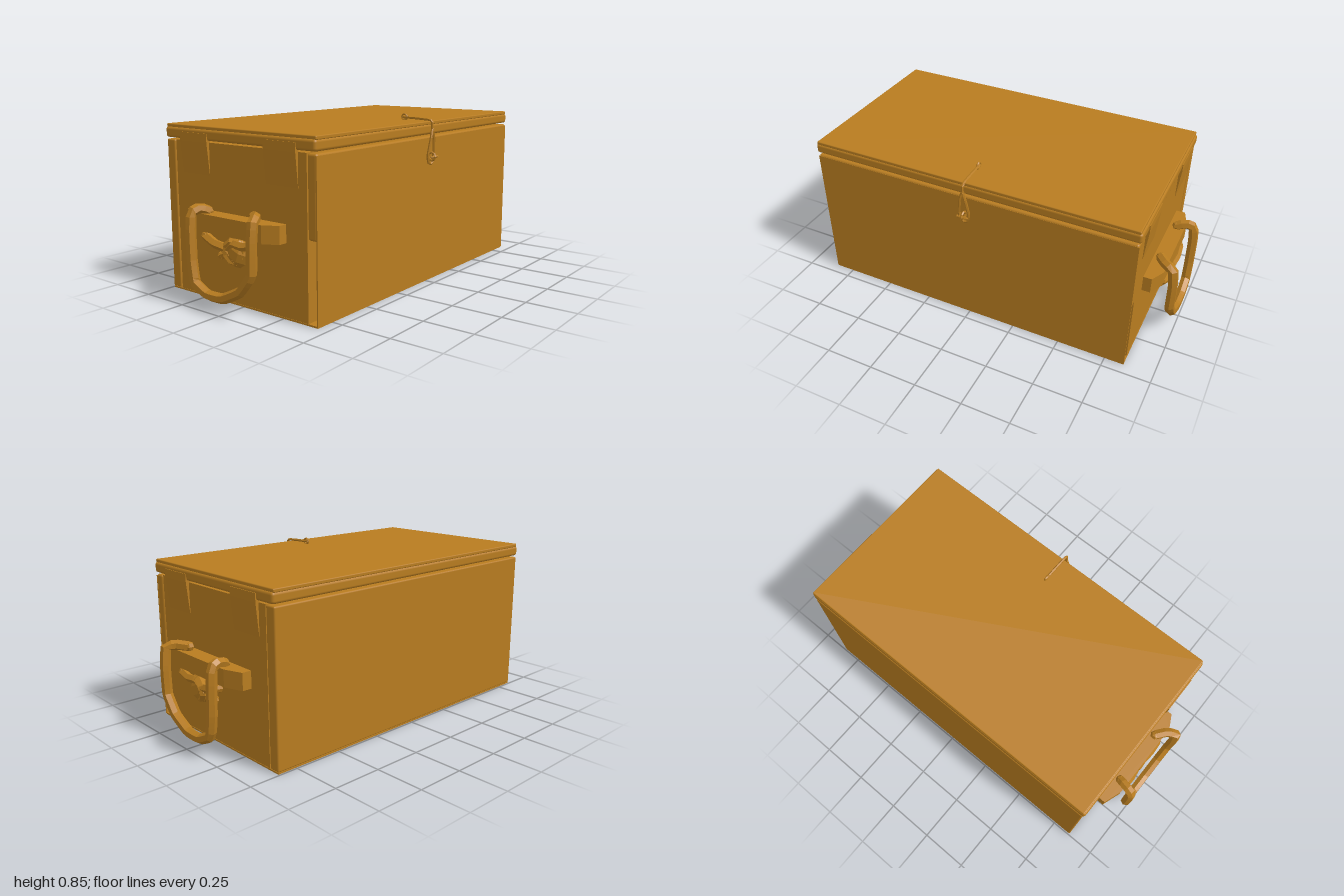
import * as THREE from 'three';
import { RoundedBoxGeometry } from 'three/addons/geometries/RoundedBoxGeometry.js';

const steel = new THREE.MeshStandardMaterial({ color: 0xb87c20 });
steel.name = 'ochre paint';

function add(parent, name, geometry) {
  const mesh = new THREE.Mesh(geometry, steel);
  mesh.name = name;
  parent.add(mesh);
  return mesh;
}

// box given by its limits on each axis
function box(parent, name, [x0, x1], [y0, y1], [z0, z1], radius = 0) {
  const w = x1 - x0, h = y1 - y0, d = z1 - z0;
  const g = radius ? new RoundedBoxGeometry(w, h, d, 2, radius) : new THREE.BoxGeometry(w, h, d);
  g.translate((x0 + x1) / 2, (y0 + y1) / 2, (z0 + z1) / 2);
  return add(parent, name, g);
}

// faceted shading by splitting the vertices
function faceted(g) {
  const flat = g.toNonIndexed();
  flat.computeVertexNormals();
  return flat;
}

// faceted rod through straight segments, with closed ends
function rod(parent, name, points, radius, sides = 6, closed = false) {
  const path = new THREE.CatmullRomCurve3(points.map(p => new THREE.Vector3(...p)), closed, 'catmullrom', 0.15);
  add(parent, name, faceted(new THREE.TubeGeometry(path, points.length * 3, radius, sides, closed)));
  if (closed) return;
  for (const i of [0, points.length - 1]) {
    const cap = add(parent, name + 'End', faceted(new THREE.IcosahedronGeometry(radius * 0.98, 0).toNonIndexed
      ? new THREE.SphereGeometry(radius * 0.98, sides, 4) : null));
    cap.position.set(...points[i]);
  }
}

// extrude an (x, z) outline upward from y0 to y1
function plan(points, y0, y1) {
  const shape = new THREE.Shape(points.map(([x, z]) => new THREE.Vector2(x, -z)));
  return new THREE.ExtrudeGeometry(shape, { depth: y1 - y0, bevelEnabled: false })
    .rotateX(-Math.PI / 2).translate(0, y0, 0);
}

function buildBody(group) {
  box(group, 'bodyCore', [-0.846, 0.846], [0.008, 0.744], [-0.432, 0.393]);
  box(group, 'bottomPlate', [-0.848, 0.848], [0, 0.008], [-0.492, 0.447]);
  box(group, 'frontPanel', [-0.85, 0.85], [0.005, 0.735], [0.444, 0.45]);
  box(group, 'frontUpperFold', [-0.85, 0.85], [0.375, 0.744], [0.397, 0.4495], 0.012);
  box(group, 'backPanel', [-0.85, 0.85], [0.008, 0.744], [-0.495, -0.437], 0.008);
}

function buildLid(group) {
  box(group, 'lidRim', [-0.858, 0.858], [0.752, 0.804], [-0.495, 0.45], 0.014);
  box(group, 'lidTop', [-0.85, 0.85], [0.8, 0.818], [-0.493, 0.448], 0.005);
}

// wedge tabs and a carrying handle for the +x end
function buildEnd() {
  const end = new THREE.Group();
  for (const [z0, z1] of [[0.157, 0.345], [-0.385, -0.2]]) {
    const profile = new THREE.Shape([[0.84, 0.785], [0.84, 0.59], [0.847, 0.59], [0.862, 0.745], [0.862, 0.785]]
      .map(p => new THREE.Vector2(...p)));
    add(end, 'lidTab', new THREE.ExtrudeGeometry(profile, { depth: z1 - z0, bevelEnabled: false }).translate(0, 0, z0));
  }

  // raised bridge holding the handle
  add(end, 'handleBracket', plan(
    [[0.84, 0.272], [0.888, 0.272], [0.925, 0.2], [0.925, -0.22], [0.892, -0.315], [0.84, -0.315]], 0.345, 0.428));

  // hanging loop with both ends hooked inward
  rod(end, 'handleLoop', [
    [0.885, 0.448, 0.12], [0.925, 0.454, 0.17], [0.966, 0.445, 0.193], [0.976, 0.35, 0.192],
    [0.976, 0.215, 0.187], [0.977, 0.13, 0.12], [0.978, 0.077, 0.01], [0.978, 0.075, -0.09],
    [0.977, 0.115, -0.175], [0.976, 0.22, -0.193], [0.974, 0.36, -0.197], [0.966, 0.44, -0.196],
    [0.925, 0.455, -0.187], [0.885, 0.435, -0.175]], 0.025, 6);

  // tied knot with loose ends
  const knot = add(end, 'knot', faceted(new THREE.SphereGeometry(1, 7, 5)));
  knot.scale.set(0.042, 0.068, 0.068);
  knot.position.set(0.89, 0.268, 0.02);
  knot.rotation.x = 0.4;
  const wrap = add(end, 'knotWrap', faceted(new THREE.TorusGeometry(0.05, 0.02, 5, 8)));
  wrap.position.set(0.905, 0.275, 0.015);
  wrap.rotation.set(0.5, Math.PI / 2 - 0.25, 0);
  rod(end, 'knotStrand', [[0.915, 0.325, 0.14], [0.92, 0.312, 0.08], [0.915, 0.315, 0.015], [0.91, 0.27, -0.035]], 0.02, 5);
  rod(end, 'knotStrand', [[0.915, 0.325, -0.165], [0.92, 0.3, -0.1], [0.91, 0.285, -0.03], [0.9, 0.23, 0.02]], 0.022, 5);
  rod(end, 'knotTail', [[0.885, 0.265, -0.03], [0.89, 0.24, -0.09]], 0.02, 5);
  return end;
}

// wire hasp over the front edge of the lid
function buildHasp(group) {
  const hasp = new THREE.Group();
  hasp.name = 'hasp';
  rod(hasp, 'haspArm', [[0, 0.832, 0.3], [0, 0.83, 0.38], [0, 0.826, 0.455], [0, 0.815, 0.471], [0, 0.77, 0.472]], 0.007, 5);
  rod(hasp, 'haspLoop', [[0, 0.785, 0.472], [0.014, 0.74, 0.475], [0.026, 0.655, 0.466], [0.018, 0.615, 0.464],
    [0, 0.607, 0.465], [-0.018, 0.615, 0.464], [-0.026, 0.655, 0.466], [-0.014, 0.74, 0.475]], 0.007, 5, true);
  const lidEye = add(hasp, 'lidEye', faceted(new THREE.TorusGeometry(0.016, 0.005, 5, 8)));
  lidEye.position.set(0, 0.832, 0.307);
  lidEye.rotation.y = Math.PI / 2;
  const staple = add(hasp, 'staple', faceted(new THREE.TorusGeometry(0.02, 0.006, 5, 8)));
  staple.position.set(0, 0.645, 0.472);
  staple.rotation.y = Math.PI / 2;
  rod(hasp, 'staplePin', [[-0.026, 0.645, 0.487], [0.026, 0.645, 0.487]], 0.007, 5);
  group.add(hasp);
}

// mirror a group's geometry across x, restoring face order
function mirrored(source) {
  const copy = new THREE.Group();
  for (const part of source.children) {
    part.updateMatrix();
    const g = (part.geometry.index ? part.geometry.toNonIndexed() : part.geometry.clone())
      .applyMatrix4(part.matrix).applyMatrix4(new THREE.Matrix4().makeScale(-1, 1, 1));
    for (const attribute of Object.values(g.attributes)) {
      const { array, itemSize: n } = attribute;
      for (let i = 0; i < array.length; i += 3 * n)
        for (let k = 0; k < n; k++)
          [array[i + n + k], array[i + 2 * n + k]] = [array[i + 2 * n + k], array[i + n + k]];
    }
    add(copy, part.name, g);
  }
  return copy;
}

export function createModel() {
  const chest = new THREE.Group();
  chest.name = 'storageChest';
  buildBody(chest);
  buildLid(chest);
  buildHasp(chest);
  const left = buildEnd();
  left.name = 'leftEnd';
  const right = mirrored(left);
  right.name = 'rightEnd';
  chest.add(left, right);
  return chest;
}
